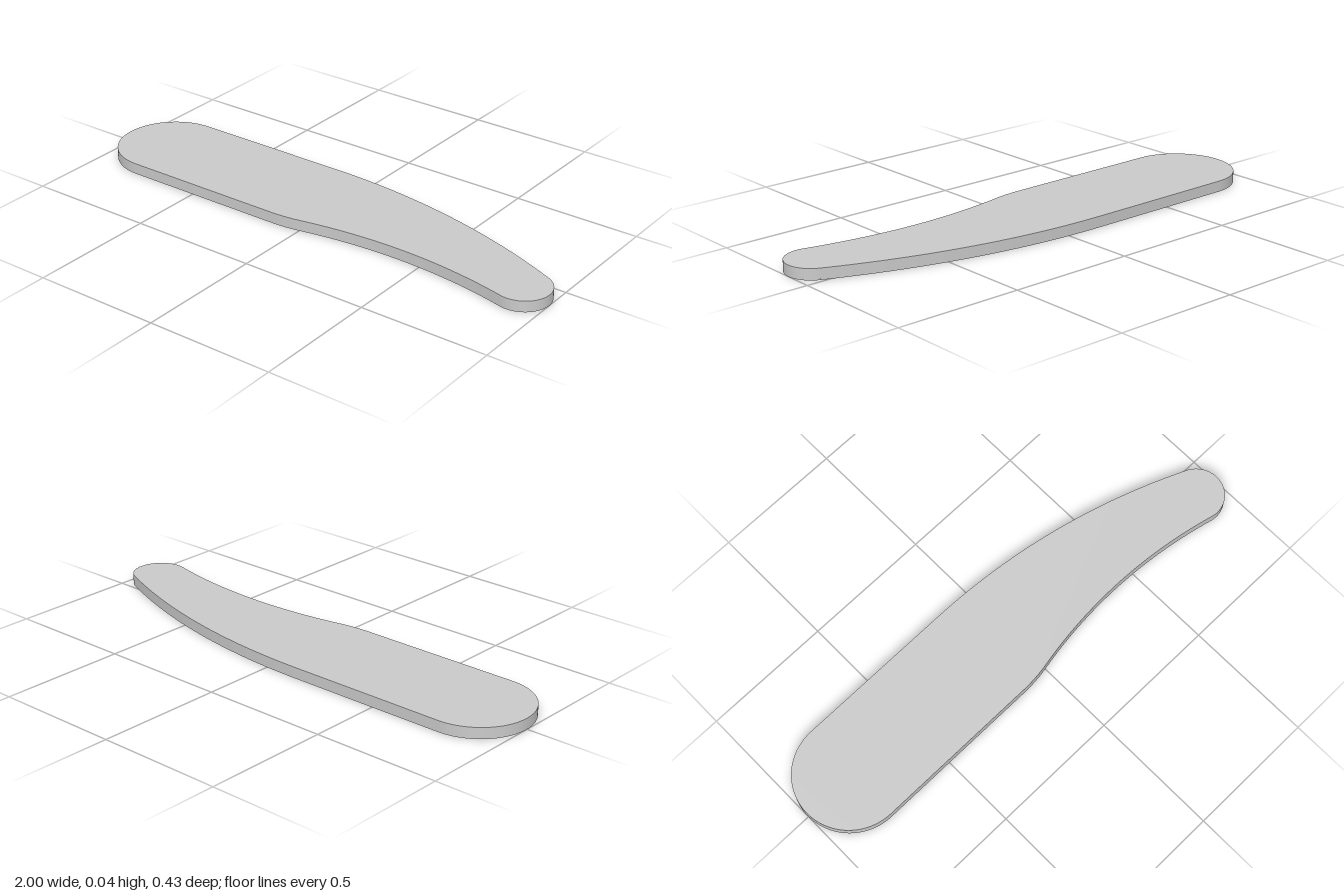
import * as THREE from 'three';
import { toCreasedNormals } from 'three/addons/utils/BufferGeometryUtils.js';

const THICKNESS = 0.043;

// Outline in plan; shape y points to the back (-z).
function bladeOutline() {
  const s = new THREE.Shape();
  s.moveTo(-0.7875, 0.217);
  s.lineTo(-0.15, 0.217);
  s.quadraticCurveTo(0.416, 0.217, 0.937, -0.014); // long convex back edge
  s.absarc(0.894, -0.111, 0.106, 1.153, -1.814, true); // narrow rounded tip
  s.quadraticCurveTo(0.434, -0.107, 0, -0.196); // hollow front edge
  s.quadraticCurveTo(-0.06, -0.208, -0.13, -0.208); // blend into straight edge
  s.lineTo(-0.7875, -0.208);
  s.absarc(-0.7875, 0.0045, 0.2125, -Math.PI / 2, -Math.PI * 1.5, true); // wide rounded end
  return s;
}

export function createModel() {
  const group = new THREE.Group();
  group.name = 'flatBlade';

  const geometry = new THREE.ExtrudeGeometry(bladeOutline(), {
    depth: THICKNESS,
    bevelEnabled: false,
    curveSegments: 32,
  });
  geometry.rotateX(-Math.PI / 2);

  const blade = new THREE.Mesh(
    toCreasedNormals(geometry, 0.6),
    new THREE.MeshStandardMaterial({ color: 0xcccccc })
  );
  blade.name = 'blade';
  group.add(blade);
  return group;
}
